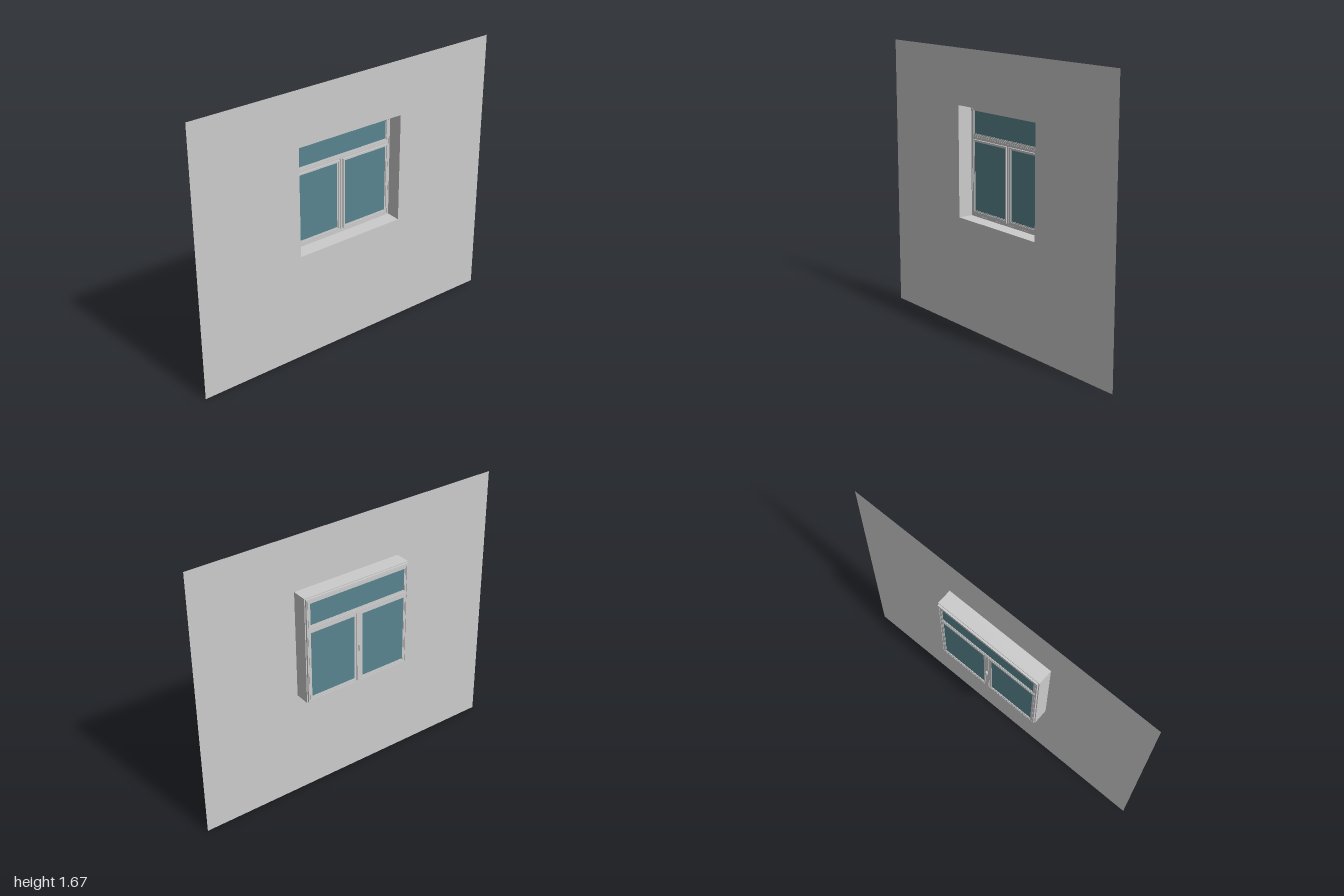
import * as THREE from 'three';

const grey = new THREE.MeshStandardMaterial({ color: 0xcccccc });
const thin = new THREE.MeshStandardMaterial({ color: 0xcccccc, side: THREE.DoubleSide });
const blue = new THREE.MeshStandardMaterial({ color: 0x59848e });

// Rectangles are [x0, y0, x1, y1]
const inset = ([a, b, c, d], t) => [a + t, b + t, c - t, d - t];

function trace(path, [x0, y0, x1, y1]) {
  path.moveTo(x0, y0);
  path.lineTo(x1, y0);
  path.lineTo(x1, y1);
  path.lineTo(x0, y1);
  path.closePath();
  return path;
}

function shapeWithHoles(outer, holes) {
  const shape = trace(new THREE.Shape(), outer);
  holes.forEach((h) => shape.holes.push(trace(new THREE.Path(), h)));
  return shape;
}

export function createModel() {
  const model = new THREE.Group();

  const add = (name, geometry, material = grey) => {
    const mesh = new THREE.Mesh(geometry, material);
    mesh.name = name;
    model.add(mesh);
    return mesh;
  };
  // Flat ring between two depths
  const ring = (name, outer, holes, zBack, zFront) => {
    const g = new THREE.ExtrudeGeometry(shapeWithHoles(outer, holes), {
      depth: zFront - zBack, bevelEnabled: false,
    });
    add(name, g.translate(0, 0, zBack));
  };
  // Solid block between two depths
  const block = (name, [x0, y0, x1, y1], zBack, zFront, material) => {
    const g = new THREE.BoxGeometry(x1 - x0, y1 - y0, zFront - zBack);
    add(name, g.translate((x0 + x1) / 2, (y0 + y1) / 2, (zBack + zFront) / 2), material);
  };

  const front = 0.058, revealBack = -0.033;
  const opening = [-0.338, 0.669, 0.363, 1.336];
  const frame = inset(opening, 0.006);

  // Thin wall sheet with the window opening
  const wall = shapeWithHoles([-1, 0, 1, 1.667], [opening]);
  add('wall', new THREE.ShapeGeometry(wall).translate(0, 0, front), thin);

  // Four reveal sheets lining the opening
  const [ox0, oy0, ox1, oy1] = opening;
  const depth = front - revealBack, zMid = (front + revealBack) / 2;
  for (const x of [ox0, ox1]) {
    add('revealSide', new THREE.PlaneGeometry(depth, oy1 - oy0)
      .rotateY(x === ox0 ? Math.PI / 2 : -Math.PI / 2)
      .translate(x, (oy0 + oy1) / 2, zMid), thin);
  }
  for (const y of [oy0, oy1]) {
    add(y === oy0 ? 'sill' : 'lintel', new THREE.PlaneGeometry(ox1 - ox0, depth)
      .rotateX(y === oy0 ? -Math.PI / 2 : Math.PI / 2)
      .translate((ox0 + ox1) / 2, y, zMid), thin);
  }
  ring('revealRim', opening, [inset(frame, 0.004)], revealBack - 0.002, revealBack);

  // Outer frame with a transom and a mullion
  const lights = [
    [-0.323, 1.152, 0.349, 1.322],
    [-0.323, 0.686, 0.001, 1.132],
    [0.024, 0.686, 0.349, 1.132],
  ];
  ring('outerFrame', frame, lights, -0.046, -0.034);
  block('transom', [-0.32, 1.135, 0.346, 1.147], -0.047, -0.031);
  block('mullion', [0.006, 0.69, 0.019, 1.138], -0.047, -0.031);
  block('mullionCatch', [0.006, 0.89, 0.016, 0.93], -0.058, -0.046);

  // Stepped sashes and panes
  const panes = [
    [-0.306, 1.166, 0.331, 1.3],
    [-0.306, 0.706, -0.016, 1.117],
    [0.039, 0.706, 0.331, 1.117],
  ];
  panes.forEach((pane, i) => {
    ring('sash', inset(lights[i], 0.002), [inset(pane, -0.006)], -0.045, -0.029);
    ring('glazingBead', inset(pane, -0.007), [pane], -0.043, -0.033);
    block('glass', inset(pane, -0.003), -0.040, -0.036, blue);
  });

  return model;
}
